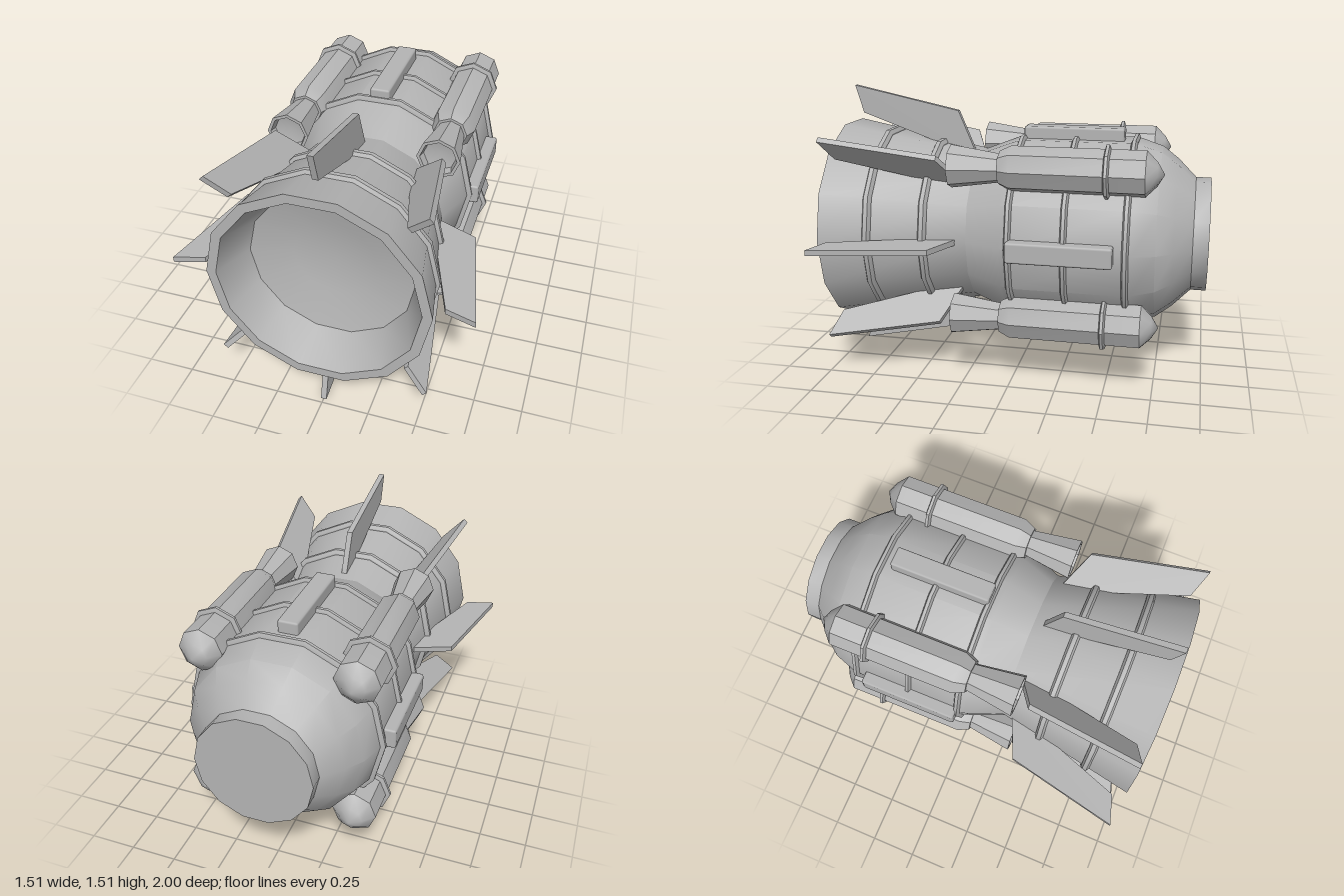
import * as THREE from 'three';
import { toCreasedNormals } from 'three/addons/utils/BufferGeometryUtils.js';
import { RoundedBoxGeometry } from 'three/addons/geometries/RoundedBoxGeometry.js';

const grey = new THREE.MeshStandardMaterial({ color: 0xb4b4b4 });
grey.name = 'hull grey';

function part(name, geometry, parent) {
  const mesh = new THREE.Mesh(geometry, grey);
  mesh.name = name;
  parent.add(mesh);
  return mesh;
}

// Profile of [radius, z] pairs, rear to front, turned about the z axis.
function turned(profile, sides, crease = 0.5) {
  const points = profile.map(([r, z]) => new THREE.Vector2(r, z));
  const g = new THREE.LatheGeometry(points, sides, Math.PI / 2).rotateX(Math.PI / 2);
  return toCreasedNormals(g, crease);
}

// Bevelled band around a hull of radius r at position z.
function band(r, z, height, width, sides) {
  const w = width / 2;
  return turned([
    [r - 0.02, z - w], [r, z - w], [r + height, z - w * 0.5],
    [r + height, z + w * 0.5], [r, z + w], [r - 0.02, z + w],
  ], sides);
}

function makePod() {
  const pod = new THREE.Group();
  pod.name = 'boosterPod';
  part('podBody', turned([
    [0.117, -0.68], [0.117, -0.005], [0.088, 0.055], [0, 0.055],
  ], 8), pod);
  part('podNose', turned([[0, -0.77], [0.06, -0.735], [0.117, -0.68]], 8, 1.2), pod);
  part('podNozzle', turned([
    [0.072, 0.04], [0.112, 0.31], [0.095, 0.31], [0.085, 0.27], [0, 0.25],
  ], 8), pod);
  part('podBand', band(0.117, -0.49, 0.023, 0.03, 8), pod);
  return pod;
}

function finGeometry() {
  const thickness = 0.03;
  const shape = new THREE.Shape([
    [0.37, 0.27], [0.63, 0.38], [0.757, 0.975], [0.605, 0.93],
  ].map(([r, z]) => new THREE.Vector2(r, z)));
  return new THREE.ExtrudeGeometry(shape, { depth: thickness, bevelEnabled: false })
    .translate(0, 0, -thickness / 2)
    .rotateX(Math.PI / 2);
}

export function createModel() {
  const model = new THREE.Group();
  model.name = 'rocketModule';
  const ship = new THREE.Group();
  ship.name = 'ship';
  ship.position.y = 0.76;
  model.add(ship);

  // Hull: rear collar, domed shoulder, barrel, waist and flared hollow nozzle
  part('rearCollar', turned([[0, -1], [0.305, -1], [0.305, -0.91]], 14), ship);
  part('hull', turned([
    [0.29, -0.92], [0.305, -0.92], [0.4, -0.825], [0.465, -0.74], [0.505, -0.62],
    [0.51, -0.58], [0.51, 0], [0.495, 0.05], [0.42, 0.24], [0.565, 1],
    [0.515, 1], [0.43, 0.79],
  ], 14), ship);
  part('nozzleFloor', turned([[0.43, 0.79], [0.22, 0.735], [0, 0.715]], 14, 0.9), ship);

  // Bands on the barrel and on the flare
  for (const z of [0, -0.285, -0.595]) {
    part('barrelBand', band(0.51, z, 0.02, 0.035, 14), ship);
  }
  for (const z of [0.465, 0.75]) {
    const r = 0.42 + (z - 0.24) * 0.19;
    part('flareBand', band(r + 0.003, z, 0.02, 0.045, 14), ship);
  }

  // Four equipment boxes on the axes
  const boxGeometry = new RoundedBoxGeometry(0.1, 0.108, 0.54, 1, 0.012);
  for (let i = 0; i < 4; i++) {
    const a = i * Math.PI / 2;
    const box = part('equipmentBox', boxGeometry, ship);
    box.position.set(0.512 * Math.cos(a), 0.512 * Math.sin(a), -0.268);
    box.rotation.z = a;
  }

  // Eight swept fins
  const fin = finGeometry();
  for (let i = 0; i < 8; i++) {
    part('fin', fin, ship).rotation.z = i * Math.PI / 4;
  }

  // Four booster pods between the boxes
  for (const x of [-0.4, 0.4]) {
    for (const y of [-0.4, 0.4]) {
      const pod = makePod();
      pod.position.set(x, y, 0);
      ship.add(pod);
    }
  }
  return model;
}
